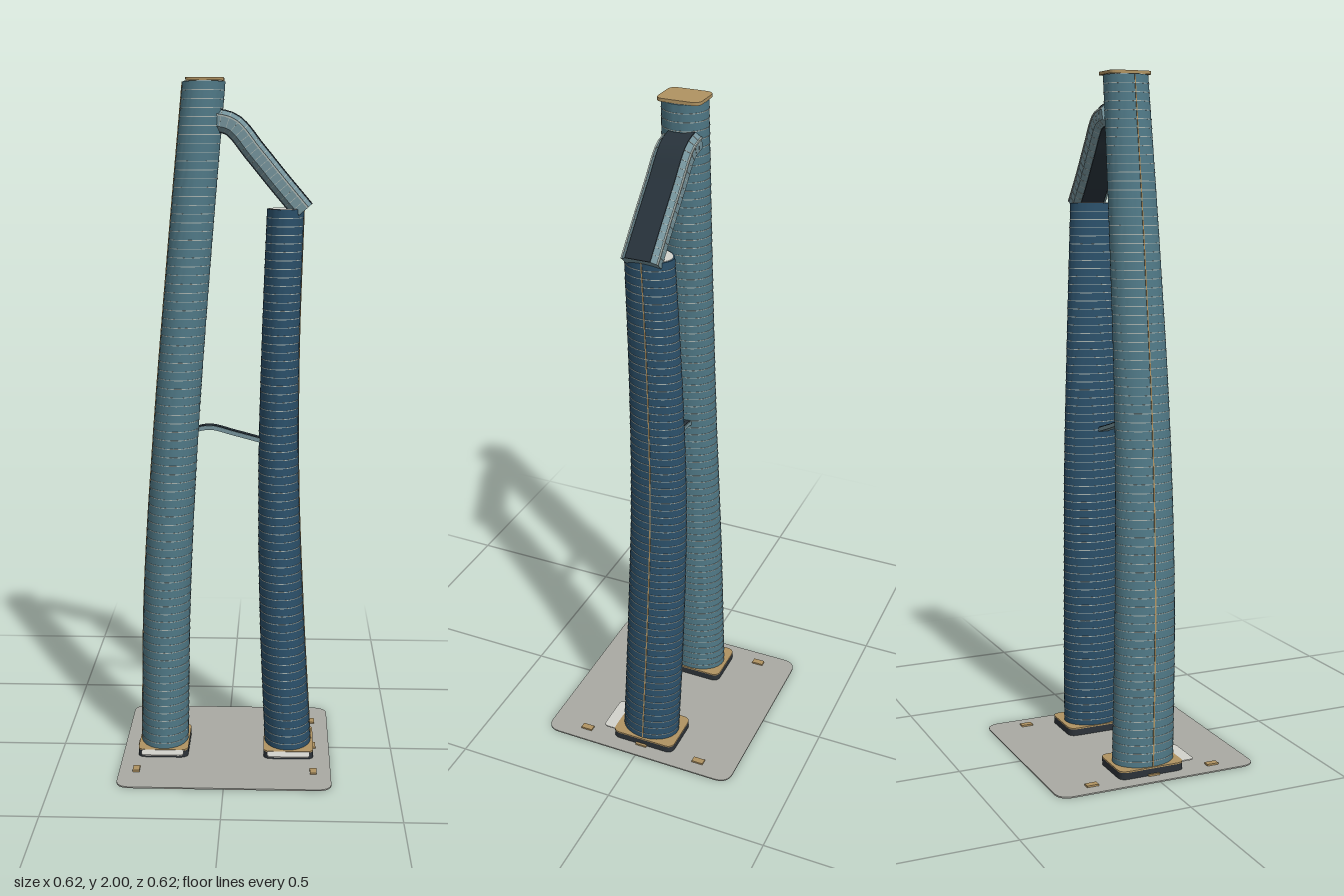
import * as THREE from 'three';
import { toCreasedNormals, mergeGeometries } from 'three/addons/utils/BufferGeometryUtils.js';

const mat = (color) => new THREE.MeshStandardMaterial({ color });
const paving = mat(0xa9aaa3), tan = mat(0xb09362), pale = mat(0xd2d2cc), dark = mat(0x2c3238);
const paleGlass = mat(0x507987), deepGlass = mat(0x2b506a), bridgeGlass = mat(0x74929a);
const roofDark = mat(0x27323a), slabEdge = mat(0xa9b4b0);
const V = (x, y, z) => new THREE.Vector3(x, y, z);

function add(parent, name, geometry, material) {
  const m = new THREE.Mesh(geometry, material);
  m.name = name;
  parent.add(m);
  return m;
}

// Skin over a list of closed rings of points, with flat ends
function loft(rows, crease = 0.6, caps = true) {
  const n = rows[0].length, last = (rows.length - 1) * n, idx = [];
  for (let i = 0; i < rows.length - 1; i++) {
    for (let j = 0; j < n; j++) {
      const a = i * n + j, b = i * n + (j + 1) % n;
      idx.push(a, a + n, b, b, a + n, b + n);
    }
  }
  if (caps) {
    for (let j = 1; j < n - 1; j++) idx.push(0, j, j + 1, last, last + j + 1, last + j);
  }
  const g = new THREE.BufferGeometry().setFromPoints(rows.flat());
  g.setIndex(idx);
  g.computeVertexNormals();
  return toCreasedNormals(g, crease);
}

// Rounded slab lying flat, from y0 to y1
function slab(x0, x1, z0, z1, r, y0, y1) {
  const s = new THREE.Shape();
  const a = -z1, b = -z0;
  s.moveTo(x0 + r, a);
  s.lineTo(x1 - r, a); s.quadraticCurveTo(x1, a, x1, a + r);
  s.lineTo(x1, b - r); s.quadraticCurveTo(x1, b, x1 - r, b);
  s.lineTo(x0 + r, b); s.quadraticCurveTo(x0, b, x0, b - r);
  s.lineTo(x0, a + r); s.quadraticCurveTo(x0, a, x0 + r, a);
  const g = new THREE.ExtrudeGeometry(s, { depth: y1 - y0, bevelEnabled: false, curveSegments: 8 });
  return g.rotateX(-Math.PI / 2).translate(0, y0, 0);
}

// Leaning elliptical tower; stations are [y, centre x, centre z, radius x, radius z]
function tower(name, stations, glass, floors, outer) {
  const group = new THREE.Group();
  group.name = name;
  const y0 = stations[0][0], y1 = stations.at(-1)[0];
  const centre = new THREE.CatmullRomCurve3(stations.map(([y, x, z]) => V(x, y, z)));
  const radii = new THREE.CatmullRomCurve3(stations.map(([y, , , rx, rz]) => V(rx, y, rz)));
  const point = (t, a, out = 0, dy = 0) => {
    const c = centre.getPoint(t), r = radii.getPoint(t);
    return V(c.x + (r.x + out) * Math.cos(a), c.y + dy, c.z + (r.z + out) * Math.sin(a));
  };
  const ring = (t, out, dy) =>
    Array.from({ length: 48 }, (_, j) => point(t, j / 48 * Math.PI * 2, out, dy));
  const steps = Array.from({ length: 41 }, (_, i) => i / 40);
  add(group, 'facade', loft(steps.map((t) => ring(t))), glass);

  // Thin floor edges standing just proud of the glass
  const edges = [];
  for (let i = 1; i < floors; i++) {
    const t = i / floors;
    edges.push(loft([ring(t, -0.002, -0.001), ring(t, 0.0012, -0.001),
      ring(t, 0.0012, 0.001), ring(t, -0.002, 0.001)], 0.6, false));
  }
  add(group, 'floorEdges', mergeGeometries(edges), slabEdge);

  // Slim vertical fin on the outer side
  const a0 = outer > 0 ? 0 : Math.PI;
  add(group, 'verticalFin', loft(steps.map((t) => [
    point(t, a0 - 0.02, -0.002), point(t, a0 - 0.02, 0.002),
    point(t, a0 + 0.02, 0.002), point(t, a0 + 0.02, -0.002)])), tan);

  add(group, 'roofLid', loft([ring(1, -0.004, -0.004), ring(1, -0.004, 0.0015)]), pale);
  return group;
}

// Sweep a section of [up, sideways] points along a curve in the front plane
function sweep(curve, section, t0, t1, count, grow = 1) {
  const rows = [];
  for (let i = 0; i <= count; i++) {
    const t = t0 + (t1 - t0) * i / count;
    const p = curve.getPointAt(t), d = curve.getTangentAt(t);
    const nrm = V(-d.y, d.x, 0).normalize();
    rows.push(section.map(([u, w]) => p.clone().addScaledVector(nrm, u * grow).add(V(0, 0, -w * grow))));
  }
  return loft(rows, 0.4);
}
const rect = (u0, u1, w) => [[u1, -w], [u1, w], [u0, w], [u0, -w]];

export function createModel() {
  const model = new THREE.Group();
  model.name = 'twinTowers';

  // Plaza
  add(model, 'plaza', slab(-0.311, 0.311, -0.311, 0.311, 0.045, 0, 0.004), paving);

  // Entrance podiums with canopies, and benches along both sides
  for (const [side, x] of [['right', -0.19], ['left', 0.187]]) {
    add(model, side + 'Podium', slab(x - 0.075, x + 0.075, -0.104, 0.1, 0.025, 0.004, 0.024), dark);
    add(model, side + 'PodiumRoof', slab(x - 0.075, x + 0.075, -0.104, 0.1, 0.025, 0.024, 0.028), tan);
    add(model, side + 'Canopy', slab(x - 0.063, x + 0.063, 0.06, 0.137, 0.015, 0.0235, 0.027), pale);
  }
  for (const x of [-0.261, 0.26]) {
    for (const z of [-0.193, 0, 0.19]) {
      add(model, 'bench', new THREE.BoxGeometry(0.02, 0.006, 0.036), tan).position.set(x, 0.006, z);
    }
  }

  // Towers
  model.add(tower('tallTower', [
    [0.02, -0.19, 0, 0.071, 0.093], [0.5, -0.179, 0.011, 0.07, 0.09], [1, -0.149, 0.016, 0.066, 0.082],
    [1.5, -0.109, 0.01, 0.063, 0.073], [1.99, -0.066, 0, 0.061, 0.064]], paleGlass, 80, -1));
  model.add(tower('shortTower', [
    [0.02, 0.185, 0, 0.07, 0.09], [0.43, 0.164, -0.009, 0.066, 0.089], [0.84, 0.152, -0.015, 0.06, 0.085],
    [1.24, 0.155, -0.01, 0.055, 0.078], [1.635, 0.167, 0, 0.053, 0.07]], deepGlass, 66, 1));
  add(model, 'tallTowerCap', slab(-0.116, -0.009, -0.064, 0.063, 0.025, 1.991, 2), tan);

  // Sloping sky bridge: chamfered glass tube with dark roof, pale rails and ribs
  const bridge = new THREE.Group();
  bridge.name = 'skyBridge';
  model.add(bridge);
  const path = new THREE.CatmullRomCurve3([V(-0.04, 1.885, -0.009), V(0.015, 1.87, -0.009),
    V(0.08, 1.795, -0.006), V(0.15, 1.71, -0.002), V(0.218, 1.63, 0)]);
  const octagon = [[0.03, -0.036], [0.03, 0.036], [0.016, 0.052], [-0.016, 0.052],
    [-0.03, 0.036], [-0.03, -0.036], [-0.016, -0.052], [0.016, -0.052]];
  add(bridge, 'bridgeTube', sweep(path, octagon, 0, 1, 24), bridgeGlass);
  add(bridge, 'bridgeRoof', sweep(path, rect(0.028, 0.033, 0.036), 0, 1, 24), roofDark);
  add(bridge, 'bridgeFloor', sweep(path, rect(-0.033, -0.028, 0.036), 0, 1, 24), roofDark);
  for (const s of [-1, 1]) {
    const rail = rect(0.013, 0.018, 0.0025).map(([u, w]) => [u, w + s * 0.0515]);
    add(bridge, 'bridgeRail', sweep(path, rail, 0, 1, 24), slabEdge);
  }
  for (let i = 1; i < 17; i++) {
    add(bridge, 'bridgeRib', sweep(path, octagon, i / 17 - 0.002, i / 17 + 0.002, 1, 1.015), slabEdge);
  }

  // Slender footbridge at mid height
  const low = new THREE.CatmullRomCurve3([V(-0.1, 0.99, 0), V(-0.05, 0.999, 0),
    V(0.02, 0.982, 0), V(0.11, 0.958, 0)]);
  add(model, 'footbridge', sweep(low, rect(-0.006, 0.006, 0.015), 0, 1, 16), bridgeGlass);
  add(model, 'footbridgeRoof', sweep(low, rect(0.005, 0.008, 0.012), 0, 1, 16), roofDark);
  return model;
}
